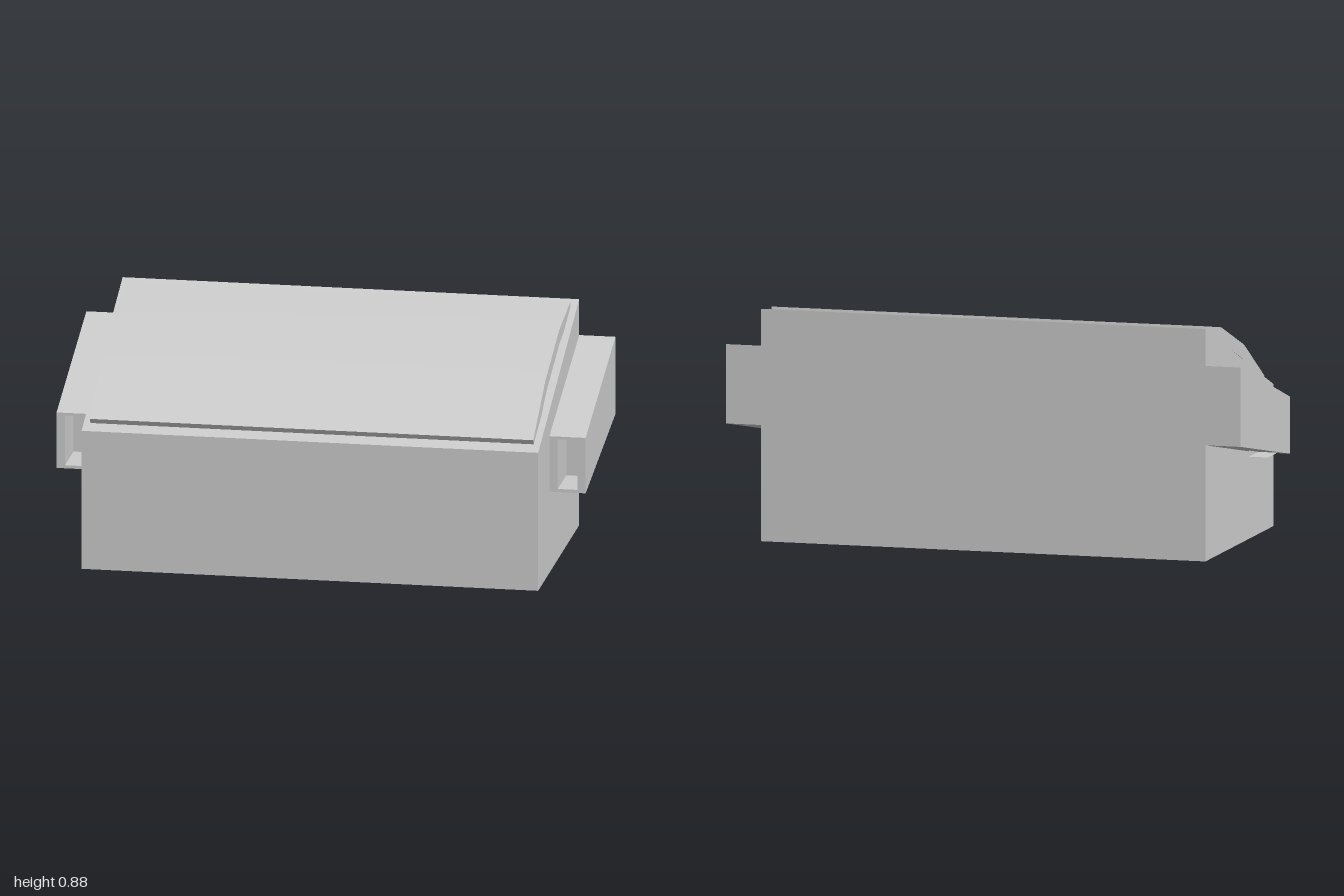
import * as THREE from 'three';
import { toCreasedNormals } from 'three/addons/utils/BufferGeometryUtils.js';

const grey = new THREE.MeshStandardMaterial({ color: 0xcccccc });
const inside = new THREE.MeshStandardMaterial({ color: 0xcccccc, side: THREE.BackSide });

// Extrude a side profile of [z, y] points across x, centred on x = 0
function acrossX(points, width) {
  const shape = new THREE.Shape(points.map(([z, y]) => new THREE.Vector2(z, y)));
  const geo = new THREE.ExtrudeGeometry(shape, { depth: width, bevelEnabled: false });
  return geo.rotateY(-Math.PI / 2).translate(width / 2, 0, 0);
}

function add(parent, name, geo, material = grey) {
  const mesh = new THREE.Mesh(geo, material);
  mesh.name = name;
  parent.add(mesh);
  return mesh;
}

// Sleeve on one side: a tapering box with a recessed slot in its front
function forkPocket(side) {
  const group = new THREE.Group();
  group.name = side > 0 ? 'leftForkPocket' : 'rightForkPocket';
  const x0 = 0.863, x1 = 1, front = 0.203, back = -0.447;
  const mid = side * (x0 + x1) / 2, half = (x1 - x0) / 2;

  // Outer shell, sloped above and below, without its front face
  const shell = new THREE.BoxGeometry(x1 - x0, 1, 1);
  const pos = shell.attributes.position;
  for (let i = 0; i < pos.count; i++) {
    const top = pos.getY(i) > 0, isFront = pos.getZ(i) > 0;
    const y = top ? (isFront ? 0.53 : 0.737) : (isFront ? 0.315 : 0.438);
    pos.setXYZ(i, pos.getX(i) + mid, y, isFront ? front : back);
  }
  const index = Array.from(shell.index.array);
  index.splice(24, 6);
  shell.setIndex(index);
  shell.clearGroups();
  add(group, 'pocketShell', toCreasedNormals(shell, 0.1));

  // Front plate with the slot opening
  const slotHalf = 0.037, slotLow = 0.327, slotHigh = 0.52, slotBack = 0.017;
  const rect = (Type, w, low, high) => new Type([
    new THREE.Vector2(-w, low), new THREE.Vector2(w, low),
    new THREE.Vector2(w, high), new THREE.Vector2(-w, high),
  ]);
  const plate = rect(THREE.Shape, half, 0.315, 0.53);
  plate.holes.push(rect(THREE.Path, slotHalf, slotLow, slotHigh));
  add(group, 'pocketFront', new THREE.ShapeGeometry(plate).translate(mid, 0, front));

  // Inner walls of the slot
  const slot = new THREE.BoxGeometry(slotHalf * 2, slotHigh - slotLow, front - slotBack);
  slot.translate(mid, (slotLow + slotHigh) / 2, (front + slotBack) / 2);
  add(group, 'pocketSlot', slot, inside);
  return group;
}

export function createModel() {
  const model = new THREE.Group();
  model.name = 'wasteContainer';

  // Bin with a top that slopes down to the front
  add(model, 'bin', acrossX([[0.447, 0], [0.447, 0.535], [-0.447, 0.876], [-0.447, 0]], 1.726));

  // Bowed lid resting on the slope
  const lid = acrossX([
    [0.41, 0.572], [0.145, 0.728], [-0.155, 0.838], [-0.395, 0.878],
    [-0.403, 0.828], [-0.168, 0.786], [0.122, 0.68], [0.385, 0.527],
  ], 1.676);
  add(model, 'lid', toCreasedNormals(lid, 0.5));

  for (const side of [-1, 1]) model.add(forkPocket(side));
  return model;
}
